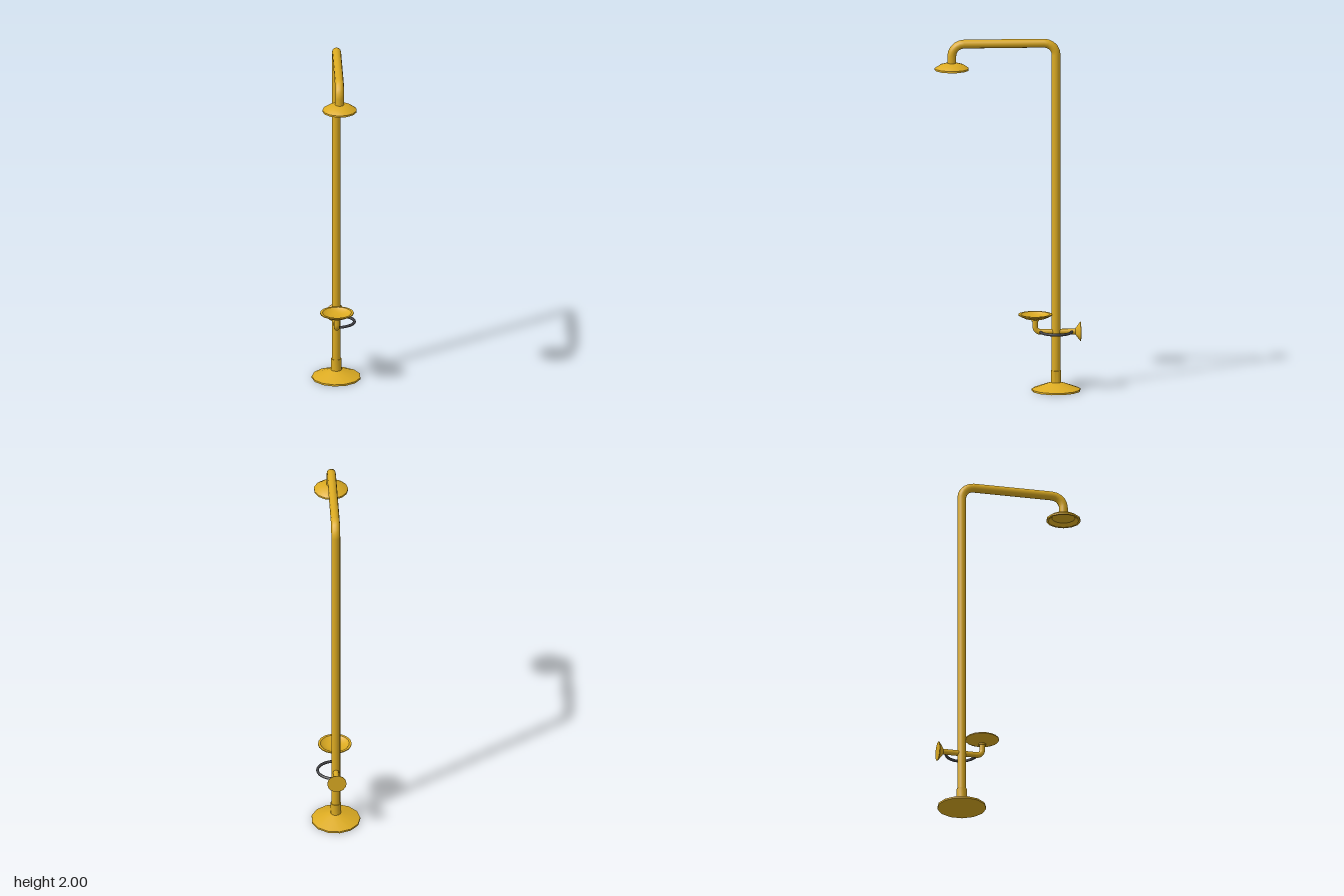
import * as THREE from 'three';
import { toCreasedNormals, mergeGeometries } from 'three/addons/utils/BufferGeometryUtils.js';

const yellow = new THREE.MeshStandardMaterial({ color: 0xdcab22 });
yellow.name = 'safety yellow';
const dark = new THREE.MeshStandardMaterial({ color: 0x414145 });
dark.name = 'dark handle';

const V = (x, y, z = 0) => new THREE.Vector3(x, y, z);

function add(parent, name, geometry, material = yellow) {
  const mesh = new THREE.Mesh(geometry, material);
  mesh.name = name;
  parent.add(mesh);
  return mesh;
}

// Turned part; profile runs from bottom centre, around the outside, to top centre
function turned(profile, sides) {
  const points = profile.map(([r, y]) => new THREE.Vector2(r, y));
  return toCreasedNormals(new THREE.LatheGeometry(points, sides), 0.6);
}

// Pipe through corner points, each inner corner rounded by an elbow
function pipe(corners, radius, bend, sides) {
  const pieces = [];
  const tube = (curve, steps) => pieces.push(new THREE.TubeGeometry(curve, steps, radius, sides));
  let start = corners[0];
  for (let i = 1; i < corners.length; i++) {
    const corner = corners[i];
    if (i === corners.length - 1) {
      tube(new THREE.LineCurve3(start, corner), 1);
      break;
    }
    const toward = (p) => corner.clone().add(p.clone().sub(corner).setLength(bend));
    const a = toward(corners[i - 1]);
    const b = toward(corners[i + 1]);
    const k = 0.552;
    tube(new THREE.LineCurve3(start, a), 1);
    tube(new THREE.CubicBezierCurve3(a, a.clone().lerp(corner, k), b.clone().lerp(corner, k), b), 5);
    start = b;
  }
  return mergeGeometries(pieces);
}

export function createModel() {
  const model = new THREE.Group();
  model.name = 'emergencyShower';

  // Everything is laid out along local +x, then turned onto the diagonal
  const stand = new THREE.Group();
  stand.name = 'stand';
  stand.position.set(0.175, 0, -0.197);
  stand.rotation.y = Math.atan2(-0.741, -0.672);
  model.add(stand);

  // Floor flange with collar
  add(stand, 'baseFlange', turned([
    [0, 0], [0.137, 0], [0.137, 0.01], [0.055, 0.04], [0.029, 0.048], [0.029, 0.115], [0, 0.115],
  ], 13));

  // Pole, overhead arm and drop pipe
  add(stand, 'polePipe', pipe(
    [V(0, 0.1), V(0, 1.975), V(0.583, 1.975), V(0.583, 1.85)], 0.025, 0.068, 12));

  // Shower head, hollow below
  add(stand, 'showerHead', turned([
    [0, 1.85], [0.065, 1.845], [0.085, 1.828], [0.096, 1.828], [0.096, 1.838],
    [0.068, 1.857], [0.03, 1.868], [0, 1.868],
  ], 13)).position.x = 0.583;

  // Eyewash feed pipe and bowl
  add(stand, 'eyewashPipe', pipe([V(-0.12, 0.335), V(0.117, 0.335), V(0.117, 0.41)], 0.016, 0.03, 10));
  add(stand, 'eyewashBowl', turned([
    [0, 0.397], [0.021, 0.397], [0.021, 0.405], [0.06, 0.413], [0.094, 0.43], [0.094, 0.436],
    [0.081, 0.436], [0.068, 0.424], [0.04, 0.417], [0, 0.415],
  ], 18)).position.x = 0.117;

  // Round push plate behind the pole
  const plate = add(stand, 'pushPlate', turned([
    [0, 0], [0.054, 0], [0.054, 0.003], [0.018, 0.03], [0, 0.03],
  ], 14));
  plate.position.set(-0.138, 0.335, 0);
  plate.rotation.z = -Math.PI / 2;

  // Curved handle joining both ends of the feed pipe
  const arc = [];
  for (let i = 0; i <= 10; i++) {
    const t = (i / 10) * Math.PI;
    arc.push(V(-0.088 * Math.cos(t), 0.335, -0.102 * Math.sin(t)));
  }
  add(stand, 'curvedHandle', new THREE.TubeGeometry(new THREE.CatmullRomCurve3(arc), 16, 0.008, 8), dark);

  return model;
}
